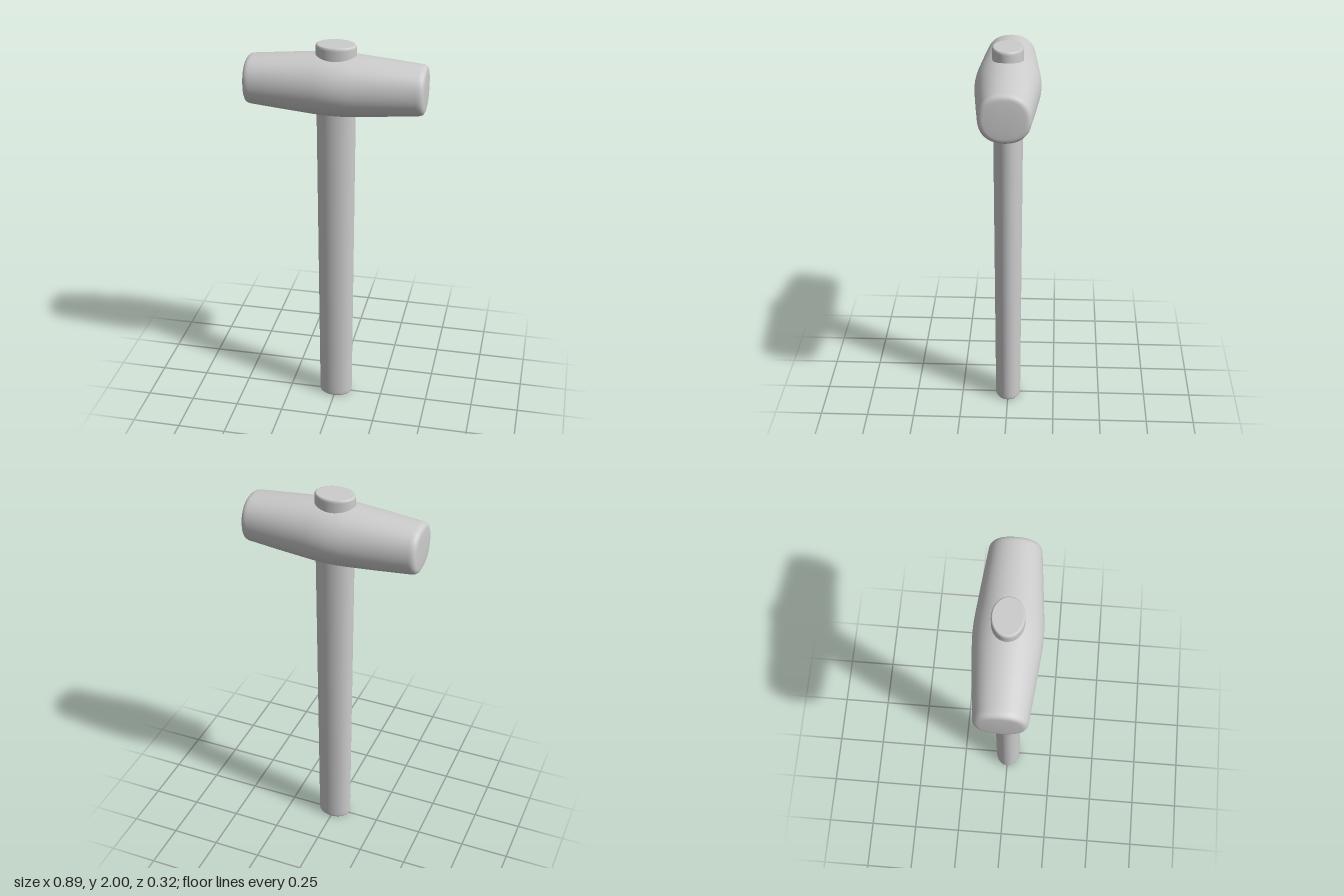
import * as THREE from 'three';
import { mergeVertices } from 'three/addons/utils/BufferGeometryUtils.js';

const HEAD_Y = 1.797;

// Smooth surface of revolution from [radius, height] pairs, listed bottom to top
function lathe(profile, segments) {
  return new THREE.LatheGeometry(profile.map(([r, y]) => new THREE.Vector2(r, y)), segments);
}

function weld(geometry) {
  geometry.deleteAttribute('uv');
  geometry.deleteAttribute('normal');
  const welded = mergeVertices(geometry, 1e-5);
  welded.computeVertexNormals();
  return welded;
}

// Barrel-shaped head: widest in the middle, striking faces with rounded, slightly squared rims
function headGeometry() {
  const half = [
    [0, 0.447], [0.06, 0.446], [0.098, 0.444], [0.108, 0.442], [0.116, 0.438],
    [0.122, 0.431], [0.1255, 0.421], [0.127, 0.408], [0.143, 0.25],
    [0.158, 0.09], [0.1615, 0.04],
  ];
  const profile = [
    ...half.map(([r, y]) => [r, -y]),
    [0.1625, 0],
    ...half.slice().reverse(),
  ];
  const geometry = lathe(profile, 64);
  const pos = geometry.attributes.position;
  for (let i = 0; i < pos.count; i++) {
    const x = pos.getX(i), z = pos.getZ(i);
    const angle = Math.atan2(z, x);
    // the cross-section swells at the diagonals towards the ends
    const square = 0.04 * Math.min(1, Math.abs(pos.getY(i)) / 0.43);
    const swell = 1 + square * Math.sin(2 * angle) ** 2;
    pos.setX(i, x * swell * 0.965);
    pos.setZ(i, z * swell);
  }
  geometry.rotateZ(Math.PI / 2);
  return weld(geometry);
}

// Oval handle, tapering gently to the foot and running through the head
function handleGeometry() {
  const profile = [
    [0, 0], [0.079, 0], [0.082, 0.001], [0.0855, 0.005], [0.087, 0.012],
    [0.0875, 0.03], [0.092, 0.8], [0.097, 1.6], [0.1, 1.9], [0.1, 1.985],
    [0.099, 1.992], [0.096, 1.998], [0.092, 2], [0.088, 2], [0, 2],
  ];
  const geometry = lathe(profile, 64);
  geometry.scale(1, 1, 0.765);
  return weld(geometry);
}

export function createModel() {
  const group = new THREE.Group();
  group.name = 'hammer';
  const grey = new THREE.MeshStandardMaterial({ color: 0xcccccc });
  grey.name = 'light grey';

  const head = new THREE.Mesh(headGeometry(), grey);
  head.name = 'head';
  head.position.y = HEAD_Y;

  const handle = new THREE.Mesh(handleGeometry(), grey);
  handle.name = 'handle';

  group.add(head, handle);
  return group;
}
